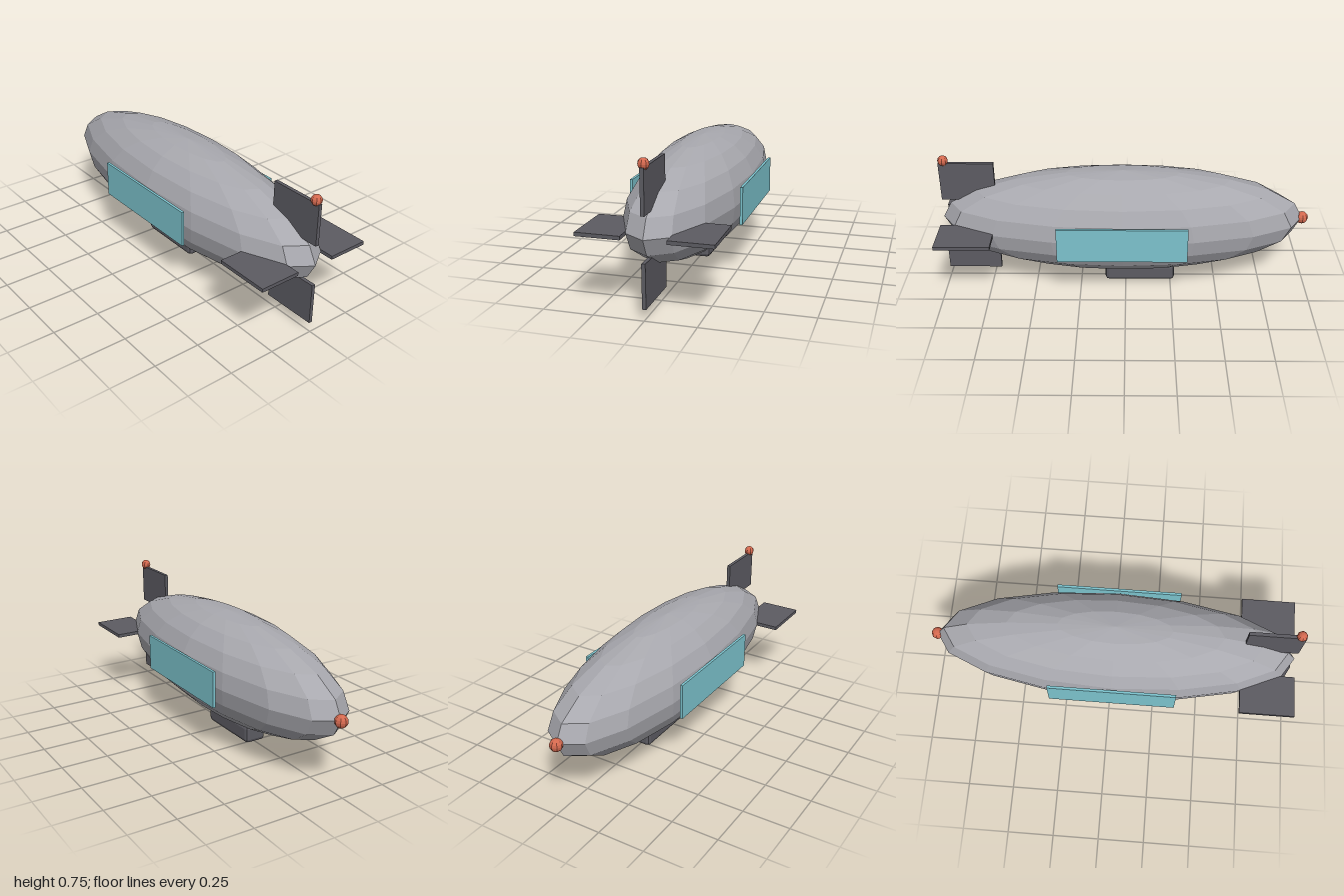
import * as THREE from 'three';
import { RoundedBoxGeometry } from 'three/addons/geometries/RoundedBoxGeometry.js';

function flatMaterial(name, color) {
  const m = new THREE.MeshStandardMaterial({ color, flatShading: true });
  m.name = name;
  return m;
}

export function createModel() {
  const model = new THREE.Group();
  model.name = 'airship';

  const hullGrey = flatMaterial('hullGrey', 0xa8a8ae);
  const darkGrey = flatMaterial('darkGrey', 0x5c5b62);
  const paleTeal = flatMaterial('paleTeal', 0x7cc3cd);
  const lampRed = flatMaterial('lampRed', 0xd4694f);

  const add = (name, geometry, material, x, y, z) => {
    const mesh = new THREE.Mesh(geometry, material);
    mesh.name = name;
    mesh.position.set(x, y, z);
    model.add(mesh);
    return mesh;
  };

  const midY = 0.384;
  const midZ = 0.017;

  // Envelope: a faceted ellipsoid, nose towards -z
  const hull = new THREE.SphereGeometry(1, 16, 10);
  hull.scale(0.289, 0.289, 0.983);
  add('hull', hull, hullGrey, 0, midY, midZ);

  // Chamfered cabin below the hull
  add('gondola', new RoundedBoxGeometry(0.12, 0.1, 0.388, 1, 0.02), darkGrey, 0, 0.05, -0.079);

  // Four tail fins
  for (const side of [1, -1]) {
    const label = side > 0 ? 'left' : 'right';
    add(label + 'Fin', new THREE.BoxGeometry(0.22, 0.019, 0.294), darkGrey, side * 0.22, midY, 0.852);
    add(side > 0 ? 'topFin' : 'bottomFin', new THREE.BoxGeometry(0.019, 0.219, 0.294),
      darkGrey, 0, midY + side * 0.2195, 0.852);
    // Flat panel on each flank
    add(label + 'Panel', new THREE.BoxGeometry(0.014, 0.195, 0.686), paleTeal, side * 0.293, midY - 0.001, 0.018);
  }

  // Lamps on the nose and on the top fin
  add('noseLamp', new THREE.SphereGeometry(0.034, 8, 8), lampRed, 0, midY, -0.966);
  add('tailLamp', new THREE.SphereGeometry(0.028, 8, 8), lampRed, 0, 0.726, 0.972);

  return model;
}
